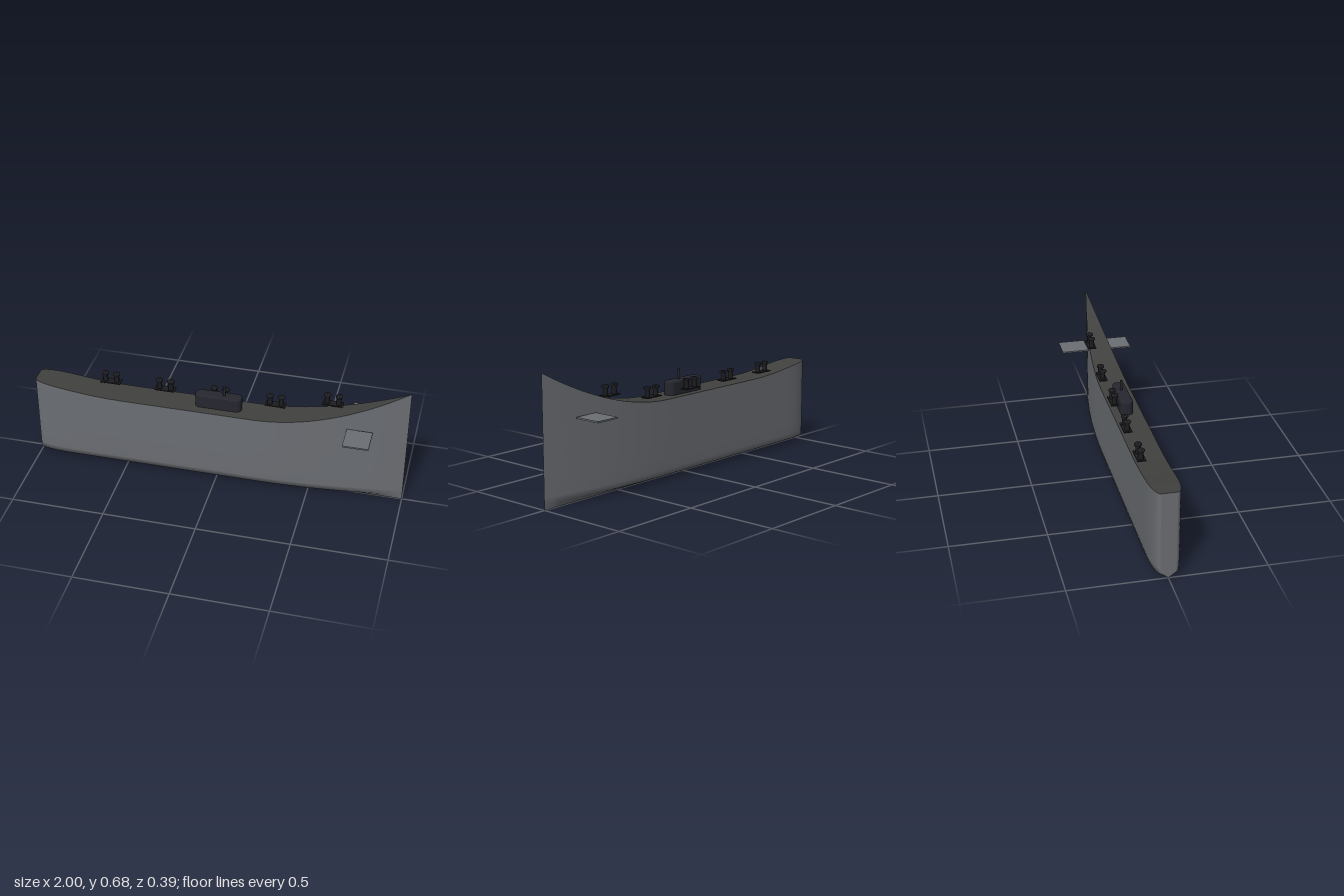
import * as THREE from 'three';

const mat = (name, color) => {
  const m = new THREE.MeshStandardMaterial({ color });
  m.name = name;
  return m;
};

// Piecewise-linear lookup through [x, value] pairs
function lookup(points, x) {
  for (let i = 1; i < points.length; i++) {
    const [x0, a] = points[i - 1], [x1, b] = points[i];
    if (x <= x1) return a + (b - a) * (x - x0) / (x1 - x0);
  }
  return points[points.length - 1][1];
}

// Half-width of the hull: rounded stern, parallel middle, tapering bow
function halfWidth(x) {
  if (x < -0.8) return 0.04 + 0.037 * Math.sqrt(Math.max(0, 1 - ((-0.8 - x) / 0.2) ** 2.6));
  if (x < 0.2) return 0.077;
  const t = (x - 0.2) / 0.8;
  return 0.077 * Math.max(0, 1 - t ** 2.05);
}

// Deck height: slight rise aft, strong sweep up to the bow
function deckY(x) {
  if (x > 0.2) return 0.43 + 0.245 * ((x - 0.2) / 0.8) ** 1.9;
  return lookup([[-1, 0.472], [-0.9, 0.462], [-0.8, 0.45], [-0.7, 0.439], [-0.6, 0.432], [-0.5, 0.43], [0.2, 0.43]], x);
}

// Section heights and widths, from keel to deck edge
function sectionPoint(x, j) {
  const w = halfWidth(x), top = deckY(x);
  return [[0, 0], [0.95 * w, 0.03], [0.985 * w, 0.06], [w, 0.13], [w, 0.3], [w, top]][j];
}

// Surface from a grid of points; columns run right and rows run up when seen from its front
function surface(cols, rows, point, flip = false) {
  const pos = [], index = [];
  for (let j = 0; j < rows; j++) for (let i = 0; i < cols; i++) pos.push(...point(i, j));
  for (let j = 0; j < rows - 1; j++) for (let i = 0; i < cols - 1; i++) {
    const a = j * cols + i, b = a + 1, c = b + cols, d = a + cols;
    if (flip) index.push(a, c, b, a, d, c);
    else index.push(a, b, c, a, c, d);
  }
  const g = new THREE.BufferGeometry();
  g.setAttribute('position', new THREE.Float32BufferAttribute(pos, 3));
  g.setIndex(index);
  g.computeVertexNormals();
  return g;
}

export function createModel() {
  const model = new THREE.Group();
  const hullGrey = mat('hull grey', 0x6b6e73);
  const deckGrey = mat('deck grey', 0x41413f);
  const houseDark = mat('deckhouse dark', 0x26272f);
  const iron = mat('bollard iron', 0x1d1d21);

  const add = (name, geometry, material, parent = model, x = 0, y = 0, z = 0) => {
    const m = new THREE.Mesh(geometry, material);
    m.name = name;
    m.position.set(x, y, z);
    parent.add(m);
    return m;
  };

  // Stations, closer together around the stern
  const stations = [-1, -0.997, -0.99, -0.98, -0.965, -0.945, -0.92, -0.89, -0.85];
  for (let i = 0; i <= 36; i++) stations.push(-0.8 + i * 0.05);
  const n = stations.length;

  // Hull sides, transom and deck
  for (const side of [1, -1]) {
    add(side > 0 ? 'hullFrontSide' : 'hullBackSide', surface(n, 6, (i, j) => {
      const [w, y] = sectionPoint(stations[i], j);
      return [stations[i], y, side * w];
    }, side < 0), hullGrey);
  }
  add('transom', surface(2, 6, (i, j) => {
    const [w, y] = sectionPoint(-1, j);
    return [-1, y, i ? w : -w];
  }), hullGrey);
  add('deck', surface(n, 2, (i, j) => {
    const x = stations[i];
    return [x, deckY(x), halfWidth(x) * (j ? -1 : 1)];
  }), deckGrey);

  // Horizontal bow fins
  for (const side of [1, -1]) {
    add('bowFin', new THREE.BoxGeometry(0.135, 0.008, 0.147), hullGrey, model, 0.757, 0.435, side * 0.1225);
  }

  // Deckhouse with rounded corners and a softened top edge
  const plan = new THREE.Shape();
  const L = 0.117, W = 0.025, r = 0.02;
  plan.absarc(L - r, W - r, r, 0, Math.PI / 2);
  plan.absarc(-L + r, W - r, r, Math.PI / 2, Math.PI);
  plan.absarc(-L + r, -W + r, r, Math.PI, Math.PI * 1.5);
  plan.absarc(L - r, -W + r, r, Math.PI * 1.5, Math.PI * 2);
  const house = new THREE.ExtrudeGeometry(plan, {
    depth: 0.063, bevelEnabled: true, bevelSize: 0.008, bevelThickness: 0.008, bevelSegments: 4, curveSegments: 8,
  });
  house.rotateX(-Math.PI / 2);
  add('deckhouse', house, houseDark, model, 0, 0.433, -0.003);
  add('mast', new THREE.CylinderGeometry(0.007, 0.007, 0.06, 12), houseDark, model, 0.03, 0.527, -0.003);

  // Twin bollards on base plates along the back edge of the deck
  const post = new THREE.LatheGeometry([
    [0, 0], [0.015, 0], [0.013, 0.006], [0.0125, 0.036], [0.019, 0.043], [0.019, 0.051], [0, 0.051],
  ].map(([x, y]) => new THREE.Vector2(x, y)), 20);
  const plate = new THREE.BoxGeometry(0.108, 0.006, 0.044);
  for (const [x, y] of [[-0.605, 0.455], [-0.305, 0.455], [-0.005, 0.455], [0.295, 0.455], [0.597, 0.511]]) {
    const bollard = new THREE.Group();
    bollard.name = 'bollardPair';
    bollard.position.set(x, y, -0.053);
    add('basePlate', plate, iron, bollard, 0, 0.003, 0);
    for (const dx of [-0.031, 0.031]) add('bollardPost', post, iron, bollard, dx, 0.005, 0);
    model.add(bollard);
  }
  return model;
}
